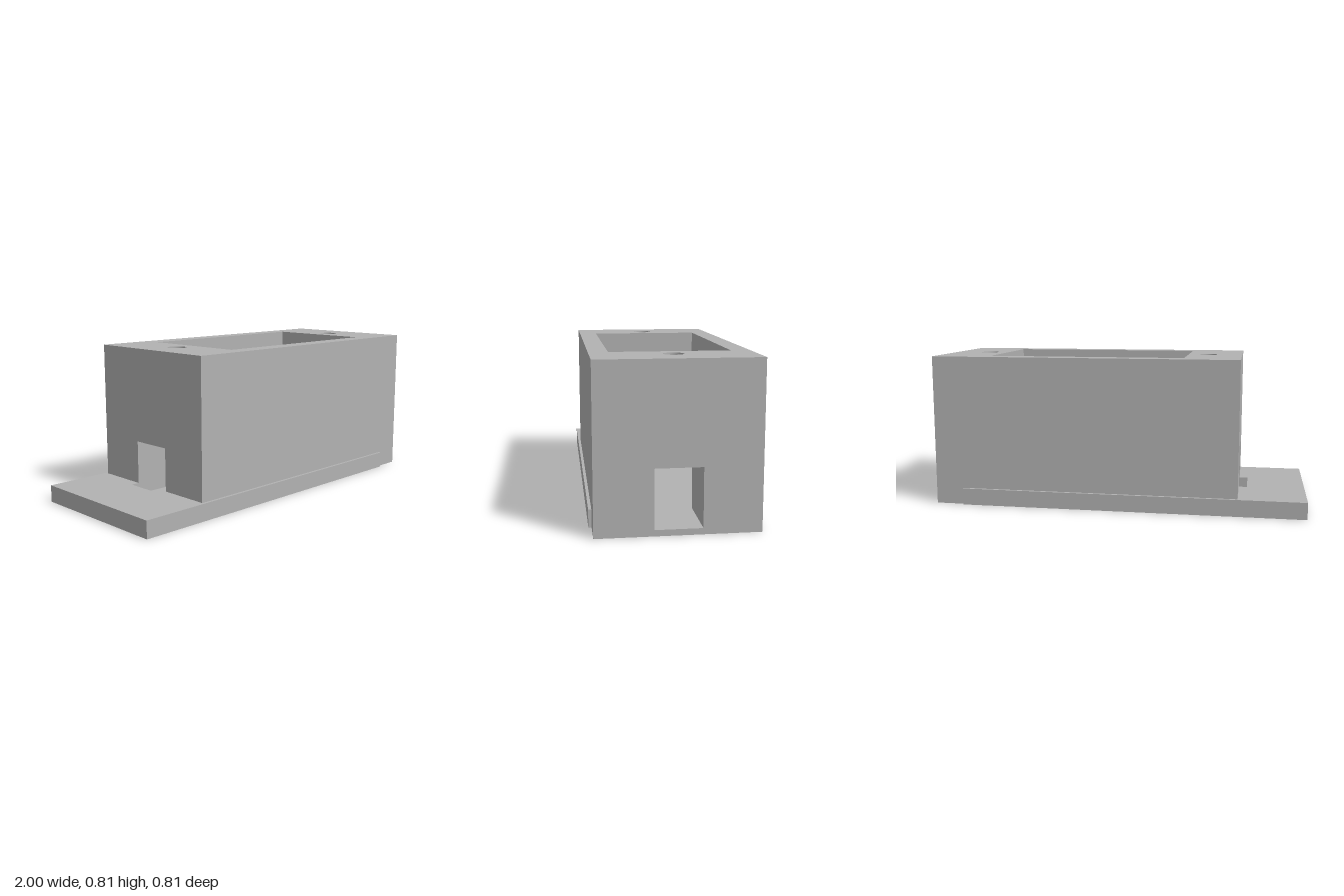
import * as THREE from 'three';

// Main dimensions
const H = 0.81, plateH = 0.09, floorY = 0.03, ductY = 0.317;
const bodyL = -0.645, bodyR = 1, bodyZ = 0.39;
const plateL = -1, plateR = 0.845, plateZ = 0.405;
const pockL = -0.35, pockR = 0.7, pockZ = 0.295;
const ductL = -0.69, ductZ = 0.113;
const holeXs = [-0.46, 0.81], holeR = 0.05, holeY = 0.41;

const grey = new THREE.MeshStandardMaterial({ color: 0xb2b2b2, side: THREE.DoubleSide });
grey.name = 'grey plastic';

// Facing directions: rotation, and sign of the first outline coordinate / second coordinate
const FACING = {
  up: { rot: [-Math.PI / 2, 0], s: [1, -1], axis: 'y' },    // outline (x, z)
  down: { rot: [Math.PI / 2, 0], s: [1, 1], axis: 'y' },    // outline (x, z)
  right: { rot: [0, Math.PI / 2], s: [-1, 1], axis: 'x' },  // outline (z, y)
  left: { rot: [0, -Math.PI / 2], s: [1, 1], axis: 'x' },   // outline (z, y)
  front: { rot: [0, 0], s: [1, 1], axis: 'z' },             // outline (x, y)
  back: { rot: [0, Math.PI], s: [-1, 1], axis: 'z' },       // outline (x, y)
};

const rect = (a0, a1, b0, b1) => [[a0, b0], [a1, b0], [a1, b1], [a0, b1]];
const circle = (cx, r, n = 48) => Array.from({ length: n }, (_, i) => {
  const t = (i / n) * Math.PI * 2;
  return [cx + r * Math.cos(t), r * Math.sin(t)];
});

// Mirrors a half outline across the second axis (z = 0)
const mirrorZ = half => [...half, ...half.map(([x, z]) => [x, -z]).reverse()];

export function createModel() {
  const model = new THREE.Group();
  const groups = {};

  function add(part, geometry) {
    if (!groups[part]) {
      groups[part] = new THREE.Group();
      groups[part].name = part;
      model.add(groups[part]);
    }
    const mesh = new THREE.Mesh(geometry, grey);
    mesh.name = part + 'Face';
    groups[part].add(mesh);
  }

  // Flat face at a given position, outlined in model coordinates
  function face(part, facing, pos, outline, holes = []) {
    const { rot, s, axis } = FACING[facing];
    const vec = pts => pts.map(([a, b]) => new THREE.Vector2(a * s[0], b * s[1]));
    const shape = new THREE.Shape(vec(outline));
    holes.forEach(h => shape.holes.push(new THREE.Path(vec(h))));
    const g = new THREE.ShapeGeometry(shape);
    g.rotateX(rot[0]).rotateY(rot[1]);
    const p = { x: 0, y: 0, z: 0, [axis]: pos };
    add(part, g.translate(p.x, p.y, p.z));
  }

  // Base plate, with the body's underside in the same surface
  face('basePlate', 'down', 0, mirrorZ([
    [plateL, plateZ], [plateR, plateZ], [plateR, bodyZ], [bodyR, bodyZ]]));
  face('basePlate', 'up', plateH, [
    [plateL, -plateZ], [plateR, -plateZ], [plateR, -bodyZ], [bodyL, -bodyZ],
    [bodyL, -ductZ], [ductL, -ductZ], [ductL, ductZ], [bodyL, ductZ],
    [bodyL, bodyZ], [plateR, bodyZ], [plateR, plateZ], [plateL, plateZ]]);
  face('basePlate', 'left', plateL, rect(-plateZ, plateZ, 0, plateH));

  // Sides, mirrored front to back
  for (const s of [1, -1]) {
    const out = s > 0 ? 'front' : 'back', inward = s > 0 ? 'back' : 'front';
    face('basePlate', out, s * plateZ, rect(plateL, plateR, 0, plateH));
    face('basePlate', 'right', plateR, rect(s * bodyZ, s * plateZ, 0, plateH));
    face('body', out, s * bodyZ, [
      [bodyL, plateH], [plateR, plateH], [plateR, 0], [bodyR, 0], [bodyR, H], [bodyL, H]]);
    face('pocket', inward, s * pockZ, rect(pockL, pockR, floorY, H));
    face('cableDuct', inward, s * ductZ, rect(pockR, bodyR, floorY, ductY));
    face('cableDuct', inward, s * ductZ, [
      [ductL, floorY], [pockL, floorY], [pockL, ductY],
      [bodyL, ductY], [bodyL, plateH], [ductL, plateH]]);
  }

  // Wall outline with the duct opening cut up from its lower edge
  const notched = (z, y0) => [
    [-z, y0], [-ductZ, y0], [-ductZ, ductY], [ductZ, ductY],
    [ductZ, y0], [z, y0], [z, H], [-z, H]];

  // Body ends and top
  face('body', 'right', bodyR, rect(-bodyZ, bodyZ, 0, H), [rect(-ductZ, ductZ, floorY, ductY)]);
  face('body', 'left', bodyL, notched(bodyZ, plateH));
  face('body', 'up', H, rect(bodyL, bodyR, -bodyZ, bodyZ),
    [rect(pockL, pockR, -pockZ, pockZ), ...holeXs.map(x => circle(x, holeR))]);

  // Pocket end walls, and the floor it shares with the duct
  face('pocket', 'right', pockL, notched(pockZ, floorY));
  face('pocket', 'left', pockR, notched(pockZ, floorY));
  face('pocket', 'up', floorY, mirrorZ([
    [ductL, ductZ], [pockL, ductZ], [pockL, pockZ],
    [pockR, pockZ], [pockR, ductZ], [bodyR, ductZ]]));

  // Duct ceilings and the end of its recess in the plate
  face('cableDuct', 'down', ductY, rect(bodyL, pockL, -ductZ, ductZ));
  face('cableDuct', 'down', ductY, rect(pockR, bodyR, -ductZ, ductZ));
  face('cableDuct', 'right', ductL, rect(-ductZ, ductZ, floorY, plateH));

  // Blind screw holes
  for (const x of holeXs) {
    const wall = new THREE.CylinderGeometry(holeR, holeR, H - holeY, 48, 1, true);
    add('screwHole', wall.translate(x, (H + holeY) / 2, 0));
    face('screwHole', 'up', holeY, circle(x, holeR));
  }

  return model;
}
